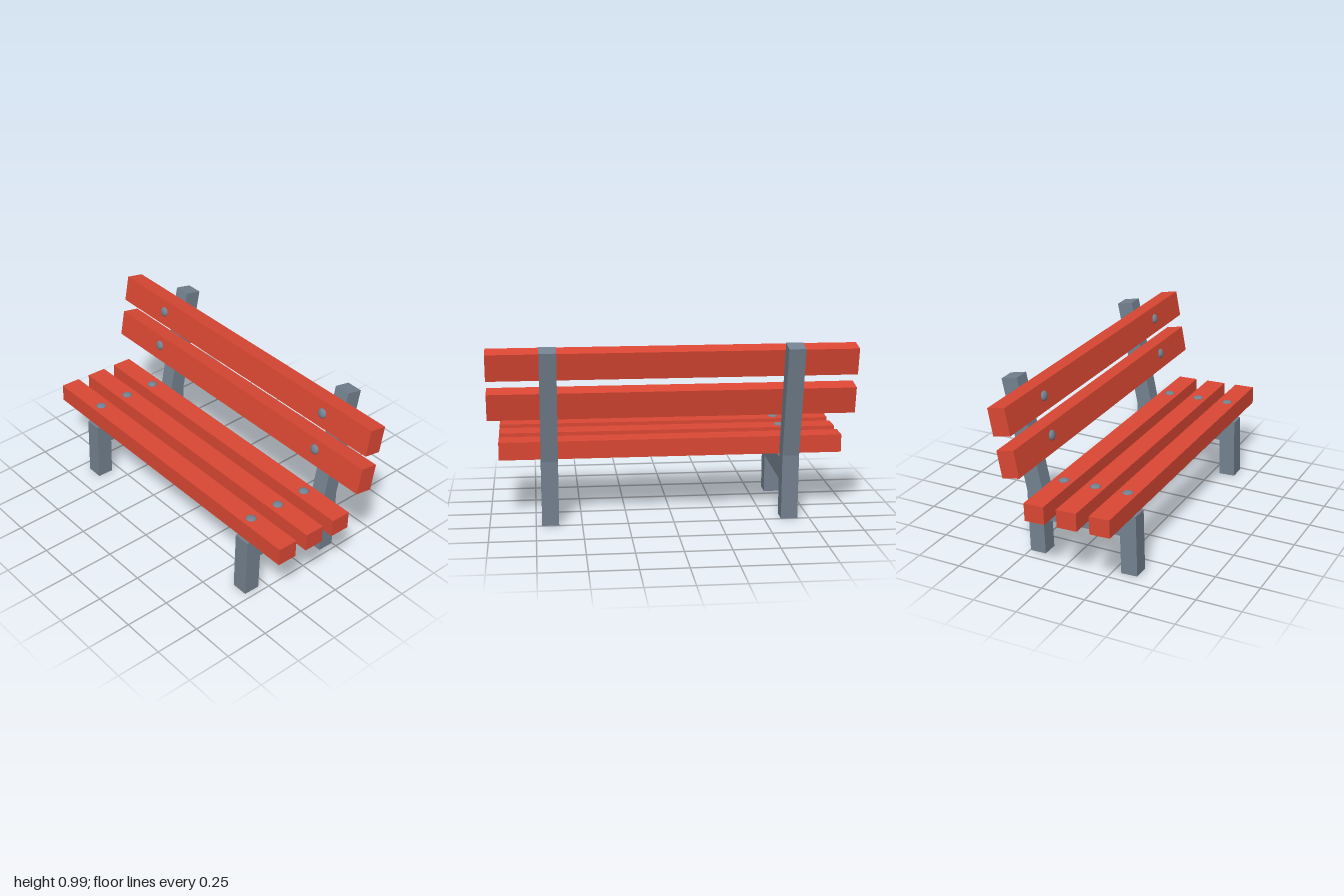
import * as THREE from 'three';

const steel = new THREE.MeshStandardMaterial({ color: 0x748290 });
const paint = new THREE.MeshStandardMaterial({ color: 0xdc4834 });

const FRAME_X = { right: -0.639, left: 0.672 };
const BOLT_X = { right: -0.64, left: 0.667 };

// Side outline of one end frame as [z, y]: front leg, seat rail, rear leg and raked back post
const OUTLINE = [
  [0.39, 0.004], [0.38, 0.35], [-0.165, 0.332], [-0.165, 0.38],
  [-0.295, 0.99], [-0.387, 0.97], [-0.257, 0.36], [-0.247, 0],
  [-0.155, 0.002], [-0.163, 0.207], [0.29, 0.22], [0.297, 0],
];

function frameGeometry(width) {
  const shape = new THREE.Shape(OUTLINE.map(([z, y]) => new THREE.Vector2(z, y)));
  const geo = new THREE.ExtrudeGeometry(shape, { depth: width, bevelEnabled: false });
  geo.translate(0, 0, -width / 2);
  geo.rotateY(-Math.PI / 2); // outline x becomes z
  return geo;
}

// Shallow domed bolt head, rising along +y
function boltGeometry(height) {
  const geo = new THREE.SphereGeometry(0.028, 20, 12);
  geo.scale(1, height / 0.028, 1);
  return geo;
}

// A plank with two bolts; the bolts sit on its top or on its front face
function slat(name, { length, x, height, depth, y, z, tilt, front, boltRise, boltShift }) {
  const group = new THREE.Group();
  group.name = name;
  group.position.set(0, y, z);
  group.rotation.x = tilt;

  const board = new THREE.Mesh(new THREE.BoxGeometry(length, height, depth), paint);
  board.name = name + 'Board';
  board.position.x = x;
  group.add(board);

  for (const side of ['left', 'right']) {
    const bolt = new THREE.Mesh(boltGeometry(boltRise), steel);
    bolt.name = side + 'Bolt';
    if (front) {
      bolt.rotation.x = Math.PI / 2;
      bolt.position.set(BOLT_X[side], boltShift, depth / 2);
    } else {
      bolt.position.set(BOLT_X[side], height / 2, boltShift);
    }
    group.add(bolt);
  }
  return group;
}

export function createModel() {
  const bench = new THREE.Group();
  bench.name = 'bench';

  // End frames
  const geo = frameGeometry(0.092);
  for (const side of ['left', 'right']) {
    const frame = new THREE.Mesh(geo, steel);
    frame.name = side + 'Frame';
    frame.position.x = FRAME_X[side];
    bench.add(frame);
  }

  // Seat slats, front to back
  [[0.311, 0.403, 0.009], [0.125, 0.396, 0.011], [-0.061, 0.389, 0.013]].forEach(([z, y, boltRise], i) => {
    bench.add(slat('seatSlat' + (i + 1), {
      length: 1.895, x: -0.0025, height: 0.1, depth: 0.114,
      y, z, tilt: -0.03, front: false, boltRise, boltShift: 0.003,
    }));
  });

  // Backrest slats, lower then upper
  [[-0.171, 0.663, 0.014], [-0.213, 0.884, 0.005]].forEach(([z, y, boltShift], i) => {
    bench.add(slat('backSlat' + (i + 1), {
      length: 2, x: 0, height: 0.149, depth: 0.1,
      y, z, tilt: -0.19, front: true, boltRise: 0.015, boltShift,
    }));
  });

  return bench;
}
